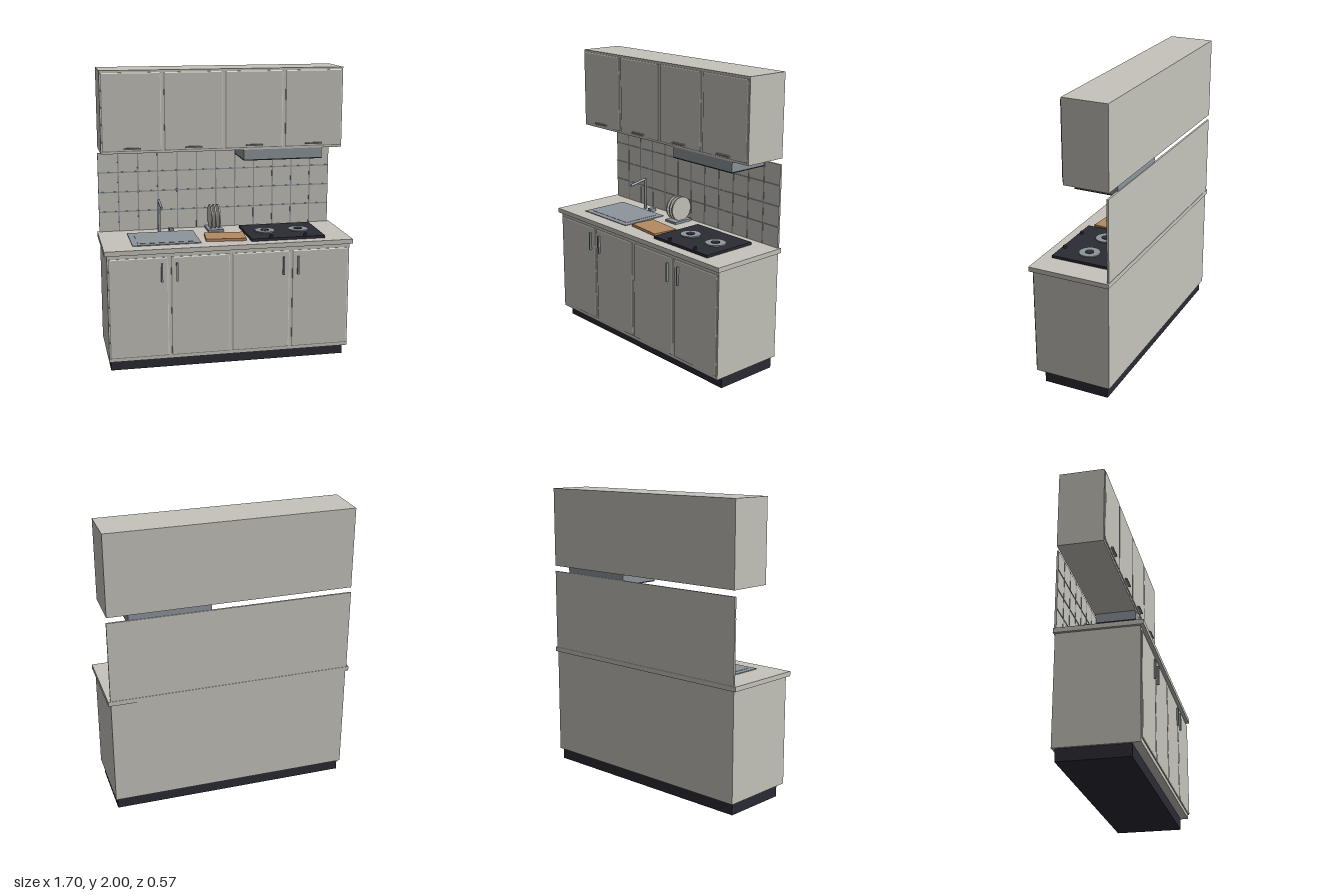
import * as THREE from 'three';

export function createModel() {
  const root = new THREE.Group();
  root.name = 'kitchenette';
  const mat = (name, color) => {
    const m = new THREE.MeshStandardMaterial({ color });
    m.name = name;
    return m;
  };
  const cream = mat('cream', 0xc5c3bb);
  const black = mat('black', 0x2b2b34);
  const steel = mat('steel', 0x8d959b);
  const wood = mat('wood', 0xb58b62);

  const add = (name, geo, material, x = 0, y = 0, z = 0, parent = root) => {
    const m = new THREE.Mesh(geo, material);
    m.name = name;
    m.position.set(x, y, z);
    parent.add(m);
    return m;
  };
  // Box given by its limits on each axis
  const box = (name, material, x0, x1, y0, y1, z0, z1, parent = root) =>
    add(name, new THREE.BoxGeometry(x1 - x0, y1 - y0, z1 - z0), material,
      (x0 + x1) / 2, (y0 + y1) / 2, (z0 + z1) / 2, parent);
  const group = (name) => {
    const g = new THREE.Group();
    g.name = name;
    root.add(g);
    return g;
  };
  // Door panel with a chamfered front edge
  const door = (name, x, y0, y1, z, parent) => {
    const b = 0.006, w = 0.396 / 2 - b, h = (y1 - y0) / 2 - b;
    const s = new THREE.Shape([[-w, -h], [w, -h], [w, h], [-w, h]].map(p => new THREE.Vector2(...p)));
    const geo = new THREE.ExtrudeGeometry(s, {
      depth: 0.004, bevelEnabled: true, bevelSize: b, bevelThickness: 0.004, bevelSegments: 1,
    });
    add(name, geo, cream, x, (y0 + y1) / 2, z + 0.003, parent);
  };

  // Base cabinet, plinth and worktop
  const base = group('baseCabinet');
  box('plinth', black, -0.815, 0.815, 0, 0.08, -0.255, 0.205, base);
  box('baseBody', cream, -0.83, 0.83, 0.08, 0.82, -0.275, 0.26, base);
  box('worktop', cream, -0.848, 0.848, 0.82, 0.852, -0.283, 0.283, base);

  // Wall cabinet
  const wall = group('wallCabinet');
  box('wallBody', cream, -0.83, 0.83, 1.45, 2, -0.283, 0.025, wall);

  // Doors and handles
  const doorX = [-0.624, -0.208, 0.208, 0.624];
  const lowerHandleX = [-0.469, -0.367, 0.363, 0.465];
  doorX.forEach((x, i) => {
    door('baseDoor', x, 0.105, 0.792, 0.26, base);
    door('wallDoor', x, 1.465, 1.985, 0.025, wall);
    const hx = lowerHandleX[i];
    box('baseHandle', steel, hx - 0.006, hx + 0.006, 0.625, 0.752, 0.27, 0.285, base);
    box('wallHandle', steel, x - 0.057, x + 0.057, 1.48, 1.489, 0.035, 0.053, wall);
  });

  // Tiled splashback with grout lines
  const splash = group('splashback');
  box('tilePanel', cream, -0.833, 0.833, 0.852, 1.41, -0.28, -0.267, splash);
  for (let i = -5; i <= 5; i++) {
    const x = i * 0.1385;
    box('groutVertical', steel, x - 0.004, x + 0.004, 0.852, 1.41, -0.268, -0.265, splash);
  }
  for (let i = 0; i < 3; i++) {
    const y = 0.992 + i * 0.14;
    box('groutHorizontal', steel, -0.833, 0.833, y - 0.004, y + 0.004, -0.268, -0.2645, splash);
  }

  // Extractor hood
  const hood = group('extractorHood');
  box('hoodBody', steel, 0.14, 0.69, 1.383, 1.45, -0.275, 0.024, hood);
  box('hoodFilter', black, 0.14, 0.69, 1.375, 1.383, -0.275, 0.024, hood);

  // Sink: raised rim around a thin basin plate
  const sink = group('sink');
  box('sinkPlate', steel, -0.65, -0.185, 0.852, 0.857, -0.17, 0.18, sink);
  box('sinkBasin', steel, -0.61, -0.225, 0.857, 0.859, -0.13, 0.14, sink);

  // Tap with a sloping spout and a side lever
  const tap = group('tap');
  add('tapPost', new THREE.CylinderGeometry(0.01, 0.01, 0.23, 16), steel, -0.42, 0.967, -0.198, tap);
  const spout = add('tapSpout', new THREE.CylinderGeometry(0.009, 0.009, 0.137, 16), steel, -0.42, 1.063, -0.131, tap);
  spout.rotation.x = Math.PI / 2 + 0.19;
  box('tapLever', steel, -0.35, -0.32, 0.852, 0.875, -0.215, -0.165, tap);

  // Plate rack
  const rack = group('plateRack');
  box('rackBase', steel, -0.085, 0.025, 0.852, 0.868, -0.25, -0.1, rack);
  for (let i = -1; i <= 1; i++) {
    const plate = add('plate', new THREE.CylinderGeometry(0.086, 0.086, 0.01, 32), cream,
      -0.03 + i * 0.028, 0.949, -0.175, rack);
    plate.rotation.z = Math.PI / 2;
  }

  // Chopping board, slightly turned
  const board = add('choppingBoard', new THREE.BoxGeometry(0.274, 0.018, 0.18), wood, -0.003, 0.861, 0.075);
  board.rotation.y = -0.1;

  // Hob with two ring burners and two knobs
  const hob = group('hob');
  box('hobPlate', black, 0.155, 0.67, 0.852, 0.87, -0.19, 0.21, hob);
  for (const x of [0.295, 0.535]) {
    add('burner', new THREE.CylinderGeometry(0.07, 0.07, 0.008, 32), steel, x, 0.874, 0.006, hob);
    add('burnerCap', new THREE.CylinderGeometry(0.03, 0.03, 0.008, 24), black, x, 0.877, 0.006, hob);
    add('knob', new THREE.CylinderGeometry(0.012, 0.012, 0.018, 16), black, x, 0.878, 0.188, hob);
  }

  return root;
}
